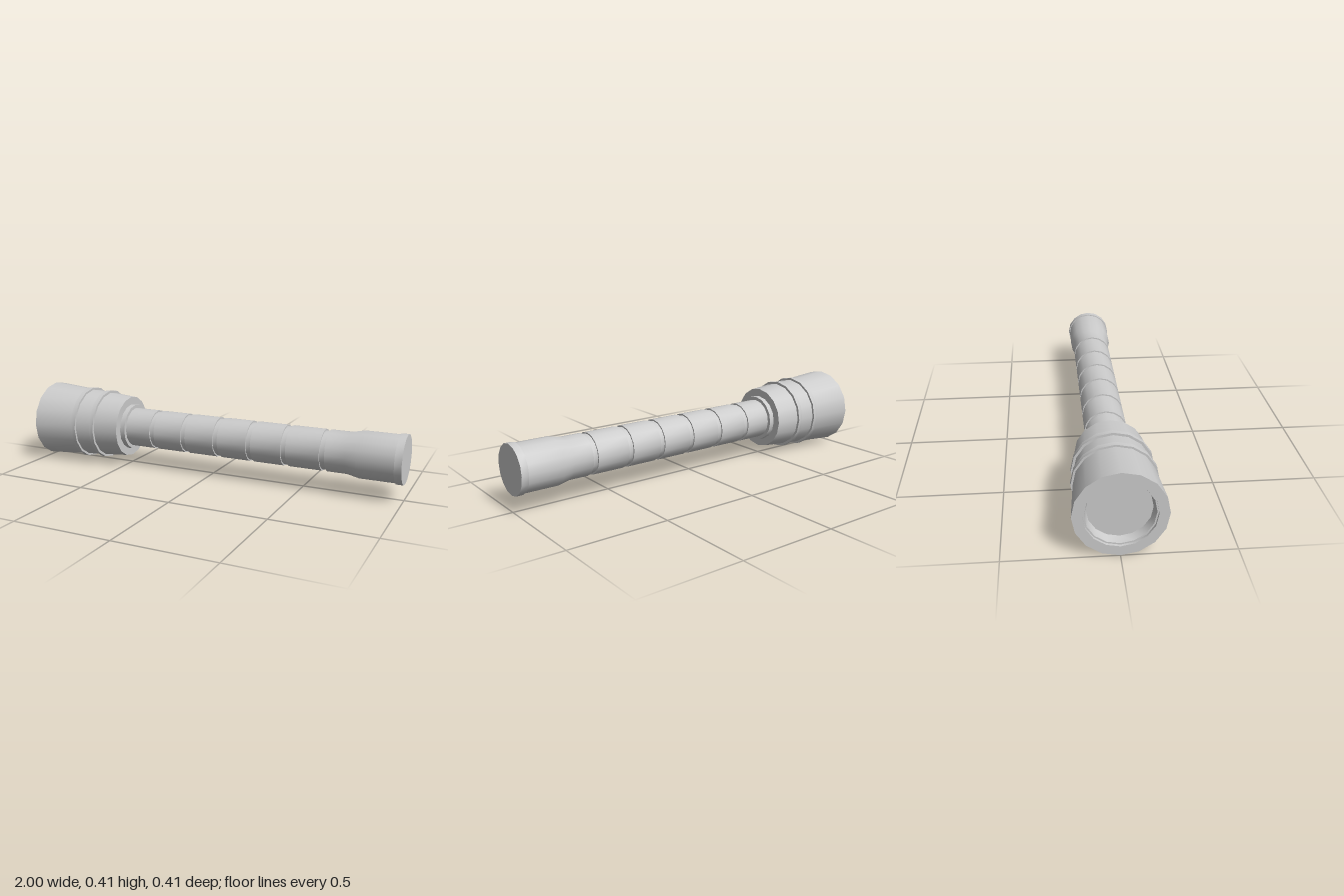
import * as THREE from 'three';
import { toCreasedNormals } from 'three/addons/utils/BufferGeometryUtils.js';

const SIDES = 16;
const AXIS_Y = 0.203;

// Spins a profile of [x, radius] points around the long axis
function turned(name, profile) {
  const points = profile.map(([x, r]) => new THREE.Vector2(r, x));
  const geometry = new THREE.LatheGeometry(points, SIDES);
  geometry.rotateZ(-Math.PI / 2);
  const mesh = new THREE.Mesh(
    toCreasedNormals(geometry, 0.6),
    new THREE.MeshStandardMaterial({ color: 0xcccccc })
  );
  mesh.name = name;
  mesh.position.y = AXIS_Y;
  return mesh;
}

export function createModel() {
  const group = new THREE.Group();
  group.name = 'flashlight';

  // Tapered head: recessed lens seat, rim, outer wall, closed rear face
  group.add(turned('head', [
    [-0.95, 0.14], [-0.988, 0.15], [-0.988, 0.157], [-1, 0.157],
    [-1, 0.203], [-0.5, 0.163], [-0.5, 0],
  ]));
  group.add(turned('lens', [[-0.95, 0], [-0.95, 0.14]].map(([x, r]) => [x, r])));

  // Raised bands around the head
  for (const [x0, x1, r] of [[-0.77, -0.745, 0.194], [-0.657, -0.634, 0.187]]) {
    group.add(turned('headBand', [[x0, 0.165], [x0, r], [x1, r], [x1, 0.165]]));
  }

  // Collar where the handle enters the head
  group.add(turned('collar', [[-0.51, 0.122], [-0.473, 0.122], [-0.473, 0.09]]));

  // Handle with shallow grooves, flaring into the tail
  const grip = 0.104, groove = 0.097;
  const handle = [[-0.51, grip]];
  for (const x of [-0.317, -0.133, 0.052, 0.235, 0.42, 0.617]) {
    handle.push([x - 0.013, grip], [x - 0.013, groove], [x + 0.013, groove], [x + 0.013, grip]);
  }
  handle.push([0.73, grip], [0.79, 0.117], [0.97, 0.117]);
  group.add(turned('handle', handle));

  // Tail cap
  group.add(turned('tailCap', [[0.965, 0.1], [0.965, 0.122], [1, 0.122], [1, 0]]));

  return group;
}
